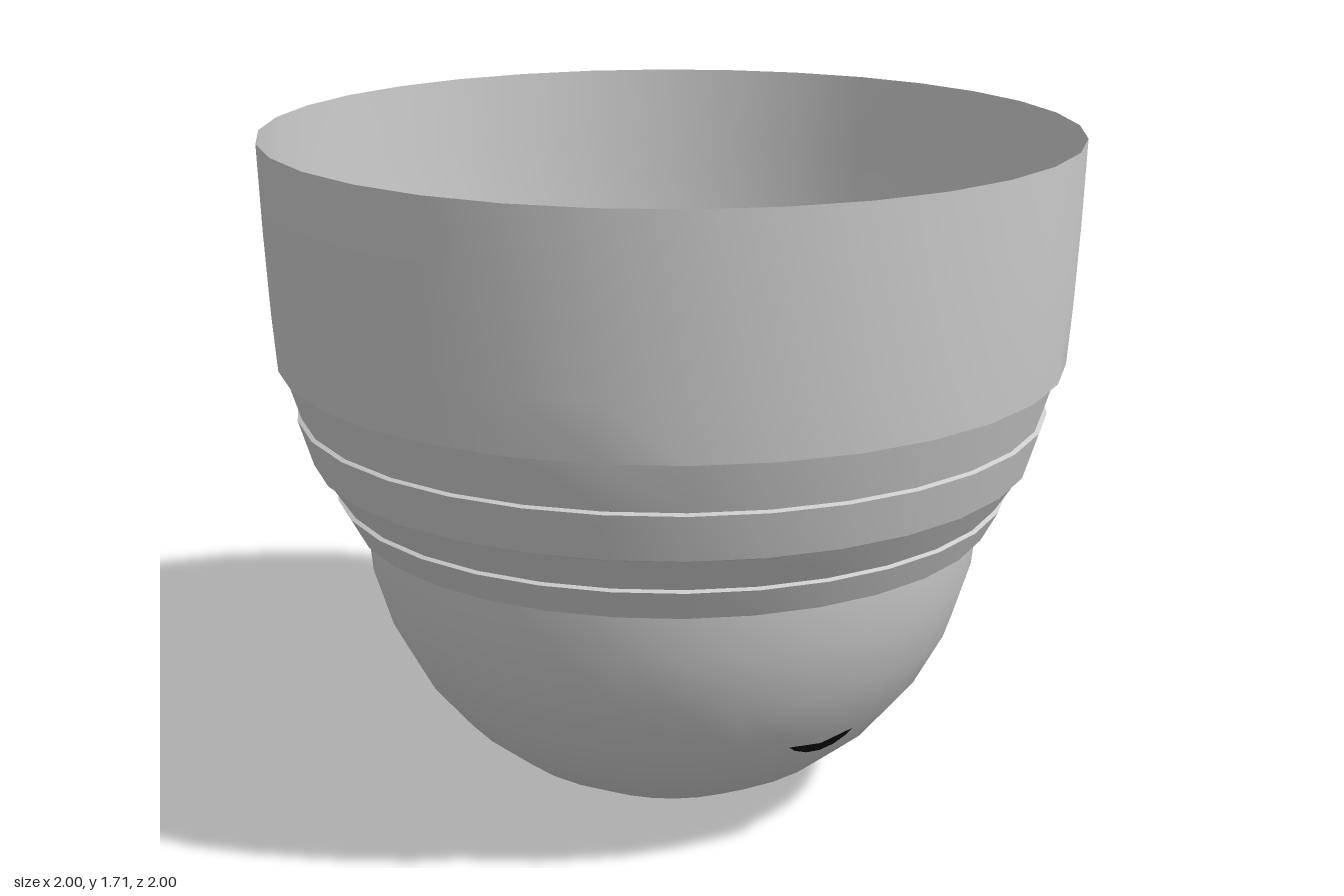
import * as THREE from 'three';
import { toCreasedNormals } from 'three/addons/utils/BufferGeometryUtils.js';

const DOME_Y = 0.78;

export function createModel() {
  const model = new THREE.Group();
  const grey = new THREE.MeshStandardMaterial({ color: 0xcccccc, side: THREE.DoubleSide });
  const black = new THREE.MeshStandardMaterial({ color: 0x050505, side: THREE.DoubleSide });

  const add = (name, geometry, material) => {
    const mesh = new THREE.Mesh(geometry, material);
    mesh.name = name;
    model.add(mesh);
    return mesh;
  };
  const lathe = (name, points, material, sides = 32) =>
    add(name, toCreasedNormals(new THREE.LatheGeometry(
      points.map(([r, y]) => new THREE.Vector2(r, y)), sides), 0.5), material);
  // Lower half of a sphere as a profile, from the pole to the equator
  const bowl = (radius, centreY, steps) => Array.from({ length: steps + 1 }, (_, i) => {
    const a = (i / steps) * Math.PI / 2;
    return [radius * Math.sin(a), centreY - radius * Math.cos(a)];
  });

  // Thin stepped housing, open at the top
  lathe('housing', [
    [0.78, 0.745], [0.805, 0.745], [0.845, 0.82], [0.835, 0.825],
    [0.89, 0.91], [0.9, 0.915], [0.935, 1.03], [0.925, 1.035],
    [0.962, 1.155], [0.975, 1.157], [0.985, 1.3], [0.994, 1.5], [1, 1.71],
  ], grey);

  // Clear-cover dome with its collar rising inside the housing
  lathe('dome', [...bowl(0.78, DOME_Y, 8), [0.78, 1.13], [0.8, 1.13], [0.8, 0.745]], grey);

  // Dark liner bowl under the dome
  lathe('innerBowl', bowl(0.71, DOME_Y, 6), black, 24);

  // Aim a y-axis solid between two points
  const between = (mesh, from, to) => {
    const a = new THREE.Vector3(...from), b = new THREE.Vector3(...to);
    mesh.position.copy(a).add(b).multiplyScalar(0.5);
    mesh.quaternion.setFromUnitVectors(new THREE.Vector3(0, 1, 0), b.sub(a).normalize());
  };

  // Lens barrel facing +x, its lower lip just breaking the dome
  between(add('lens', new THREE.CylinderGeometry(0.16, 0.16, 0.153, 24), black),
    [0.49, 0.47, 0], [0.64, 0.44, 0]);

  // Flared lamps on both sides of the lens
  for (const s of [-1, 1]) {
    between(add('lamp', new THREE.CylinderGeometry(0.073, 0.015, 0.575, 16), black),
      [0.13, 0.58, 0.065 * s], [0.635, 0.55, 0.335 * s]);
  }

  return model;
}
